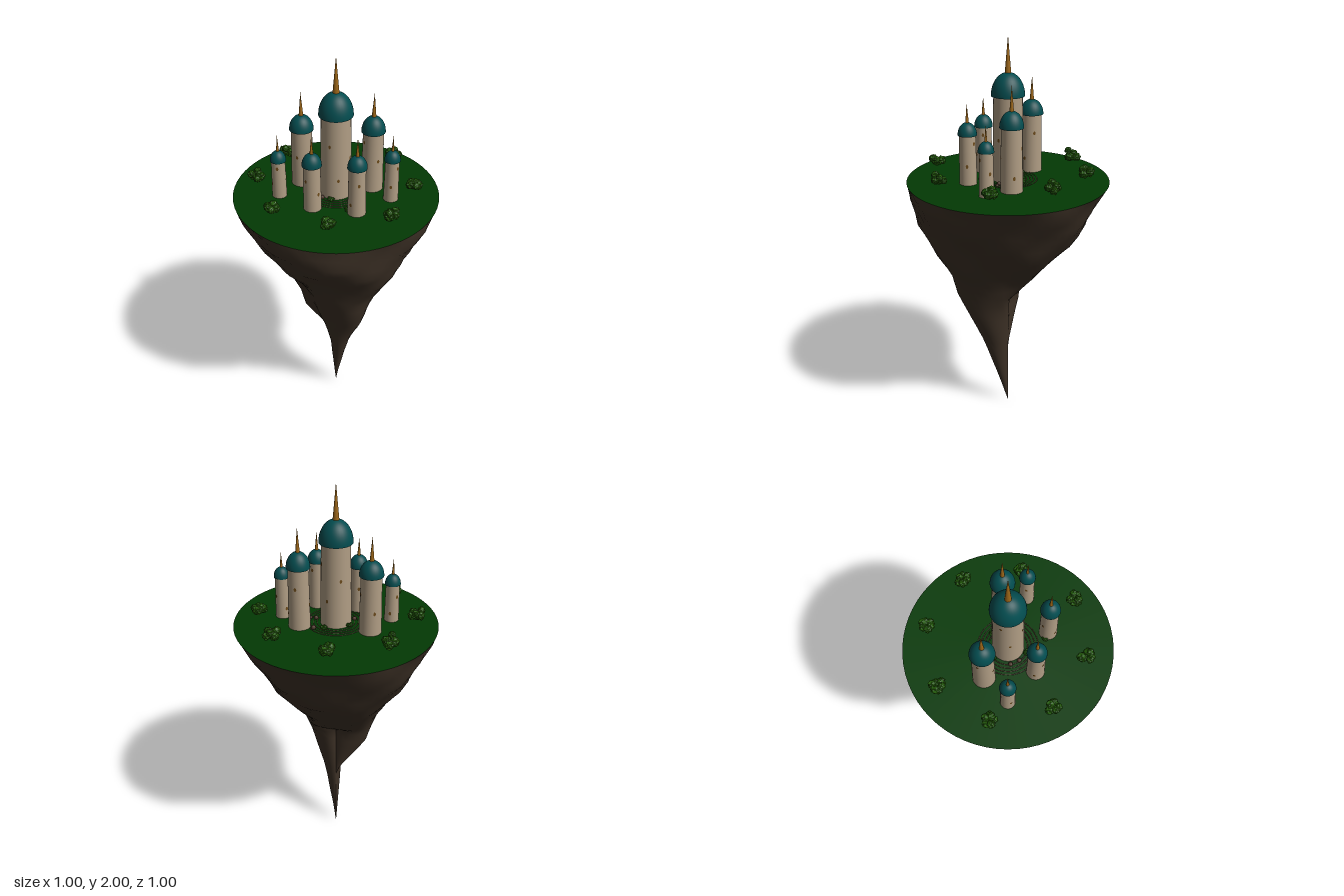
import * as THREE from 'three';
import { mergeGeometries } from 'three/addons/utils/BufferGeometryUtils.js';

const GROUND = 1.307;
const flat = (name, color) => Object.assign(new THREE.MeshStandardMaterial({ color }), { name });

function seeded(seed) {
  return () => (seed = (seed * 16807) % 2147483647) / 2147483647;
}

// Rock radius from the rim down in steps of 0.1, in eight directions: front, front left, left, ...
const ROCK = [
  [.497, .485, .44, .37, .31, .27, .23, .19, .15, .12, .09, .06, .03, 0],
  [.497, .475, .44, .395, .345, .29, .255, .217, .17, .12, .085, .055, .025, 0],
  [.495, .45, .39, .33, .26, .19, .14, .08, .05, .03, .015, .008],
  [.497, .44, .39, .33, .25, .16, .08],
  [.495, .44, .39, .33, .24, .155, .06],
  [.497, .45, .40, .34, .27, .19, .095],
  [.497, .455, .40, .35, .28, .23, .19, .16, .09, .02],
  [.497, .46, .40, .34, .26, .20, .16, .12, .07, .01],
];
// Direction of each profile, as a fraction of a half turn; the front left ridge leans forward
const TURN = [0, .2, .5, .75, 1, 1.25, 1.5, 1.75, 2];

function rockGeometry() {
  const n = 64, rows = 27, pos = [], index = [];
  const sample = (dir, row) => {
    const p = ROCK[(dir + 8) % 8], k = Math.floor(row);
    return row > p.length - 1 ? 0 : THREE.MathUtils.lerp(p[k], p[Math.ceil(row)], row - k);
  };
  for (let j = 0; j < rows; j++) {
    const row = j / 2;
    const y = row < 1 ? GROUND - row * 0.11 : 1.3 - row * 0.1;
    for (let i = 0; i < n; i++) {
      const s = (i / n) * 8, d = Math.floor(s), t = s - d;
      const a = Math.PI * THREE.MathUtils.lerp(TURN[d], TURN[d + 1], t);
      const [p, q, u, v] = [-1, 0, 1, 2].map((o) => sample(d + o, row));
      // smooth interpolation around the axis
      let r = q + 0.5 * t * (u - p + t * (2 * p - 5 * q + 4 * u - v + t * (3 * (q - u) + v - p)));
      r *= 1 + 0.014 * Math.sin(5 * a + 17 * y) + 0.012 * Math.sin(9 * a - 31 * y);
      r = j === 0 ? 0.497 : Math.max(0, r);
      pos.push(r * Math.sin(a), y, r * Math.cos(a));
      if (j < rows - 1) {
        const tl = j * n + i, tr = j * n + ((i + 1) % n);
        index.push(tl, tl + n, tr + n, tl, tr + n, tr);
      }
    }
  }
  const g = new THREE.BufferGeometry();
  g.setAttribute('position', new THREE.Float32BufferAttribute(pos, 3));
  g.setIndex(index);
  g.computeVertexNormals();
  return g;
}

// Leafy clump: a few overlapping balls with spiky surfaces
function bushGeometry(size, seed) {
  const rnd = seeded(seed), balls = [];
  for (let k = 0; k < 7; k++) {
    const g = new THREE.IcosahedronGeometry(size * (0.42 + 0.14 * rnd()), 3);
    const p = g.attributes.position, v = new THREE.Vector3();
    for (let i = 0; i < p.count; i++) {
      v.fromBufferAttribute(p, i);
      const w = v.clone().normalize();
      v.multiplyScalar(1 + 0.14 * Math.sin(w.x * 19 + k) * Math.sin(w.y * 17) + 0.1 * Math.sin(w.z * 21 + k));
      p.setXYZ(i, v.x, v.y, v.z);
    }
    g.computeVertexNormals();
    const a = k * 1.05 + rnd(), d = k ? size * (0.4 + 0.25 * rnd()) : 0;
    g.translate(d * Math.cos(a), size * (rnd() - 0.5) * 0.8, d * Math.sin(a));
    balls.push(g);
  }
  return mergeGeometries(balls);
}

export function createModel() {
  const model = new THREE.Group();
  model.name = 'floatingIslandCastle';
  const mat = {
    rock: flat('rock brown', 0x3d3126),
    grass: flat('grass green', 0x033a04),
    stone: flat('tower stone', 0xb09d84),
    dome: flat('dome teal', 0x034c4f),
    gold: flat('spire gold', 0x9c6618),
    window: flat('window amber', 0x6e4c1c),
    leaf: flat('leaf green', 0x235c08),
    path: flat('path brown', 0x4a3529),
  };
  const add = (parent, name, geo, material, x = 0, y = 0, z = 0) => {
    const m = new THREE.Mesh(geo, material);
    m.name = name;
    m.position.set(x, y, z);
    parent.add(m);
    return m;
  };

  // Island
  add(model, 'rock', rockGeometry(), mat.rock);
  add(model, 'grass', new THREE.CircleGeometry(0.498, 64).rotateX(-Math.PI / 2), mat.grass, 0, GROUND);

  // Towers: x, z, dome radius, dome base, dome top, spire tip
  const towers = [
    [0, 0, .081, 1.72, 1.83, 2.0],
    [-.172, -.078, .058, 1.597, 1.67, 1.785],
    [.17, -.06, .057, 1.612, 1.69, 1.805],
    [-.267, .054, .038, 1.497, 1.548, 1.63],
    [.266, .036, .038, 1.517, 1.568, 1.645],
    [-.096, .15, .046, 1.537, 1.598, 1.685],
    [.113, .17, .046, 1.547, 1.608, 1.7],
  ];
  towers.forEach(([x, z, r, base, top, tip], t) => {
    const tower = new THREE.Group();
    tower.name = 'tower' + (t + 1);
    tower.position.set(x, 0, z);
    model.add(tower);
    const h = base - GROUND, wallTop = r * 0.86, wallBottom = r * 0.94;
    add(tower, 'wall', new THREE.CylinderGeometry(wallTop, wallBottom, h, 32), mat.stone, 0, GROUND + h / 2);
    const dome = new THREE.SphereGeometry(r, 32, 14, 0, Math.PI * 2, 0, Math.PI / 2);
    add(tower, 'dome', dome.scale(1, (top - base) / r, 1), mat.dome, 0, base);
    add(tower, 'domeUnderside', new THREE.CircleGeometry(r, 32).rotateX(Math.PI / 2), mat.dome, 0, base);
    const spireH = tip - top + 0.01;
    add(tower, 'spire', new THREE.ConeGeometry(r * 0.2, spireH, 12), mat.gold, 0, tip - spireH / 2);

    // Small windows winding up the wall
    const count = t === 0 ? 8 : 5;
    for (let k = 0; k < count; k++) {
      const f = 0.25 + (0.6 * k) / (count - 1), a = 0.25 + t * 0.9 + k * 2.4;
      const d = THREE.MathUtils.lerp(wallBottom, wallTop, f) + 0.0015;
      const w = add(tower, 'window', new THREE.CircleGeometry(0.0065, 10).scale(1, 1.5, 1), mat.window,
        d * Math.sin(a), GROUND + h * f, d * Math.cos(a));
      w.rotation.y = a;
    }
  });

  // Circular paths around the main tower
  for (const r of [.092, .109, .126, .143]) {
    add(model, 'pathRing', new THREE.TorusGeometry(r, 0.002, 6, 64).rotateX(Math.PI / 2), mat.path, 0, GROUND);
  }

  // Stones and little shrubs beside the paths
  for (const [x, z, r] of [[.1, .02, .011], [.1, -.083, .012], [.125, .022, .008], [-.087, .03, .011], [-.06, .066, .011]]) {
    add(model, 'stone', new THREE.IcosahedronGeometry(r, 1), mat.path, x, GROUND + r * 0.5, z);
  }
  [[.05, -.085], [-.015, .09], [-.072, -.055], [.072, .163]].forEach(([x, z], i) =>
    add(model, 'shrub', bushGeometry(0.016, 50 + i), mat.leaf, x, GROUND + 0.012, z));

  // Ring of bushes near the rim
  const bushes = [[0, -.385], [.268, -.275], [.377, -.01], [.275, .265], [0, .37], [-.27, .265], [-.39, -.006], [-.275, -.272]];
  bushes.forEach(([x, z], i) =>
    add(model, 'bush', bushGeometry(0.039, 101 + i * 37), mat.leaf, x, GROUND + 0.067, z));

  return model;
}
